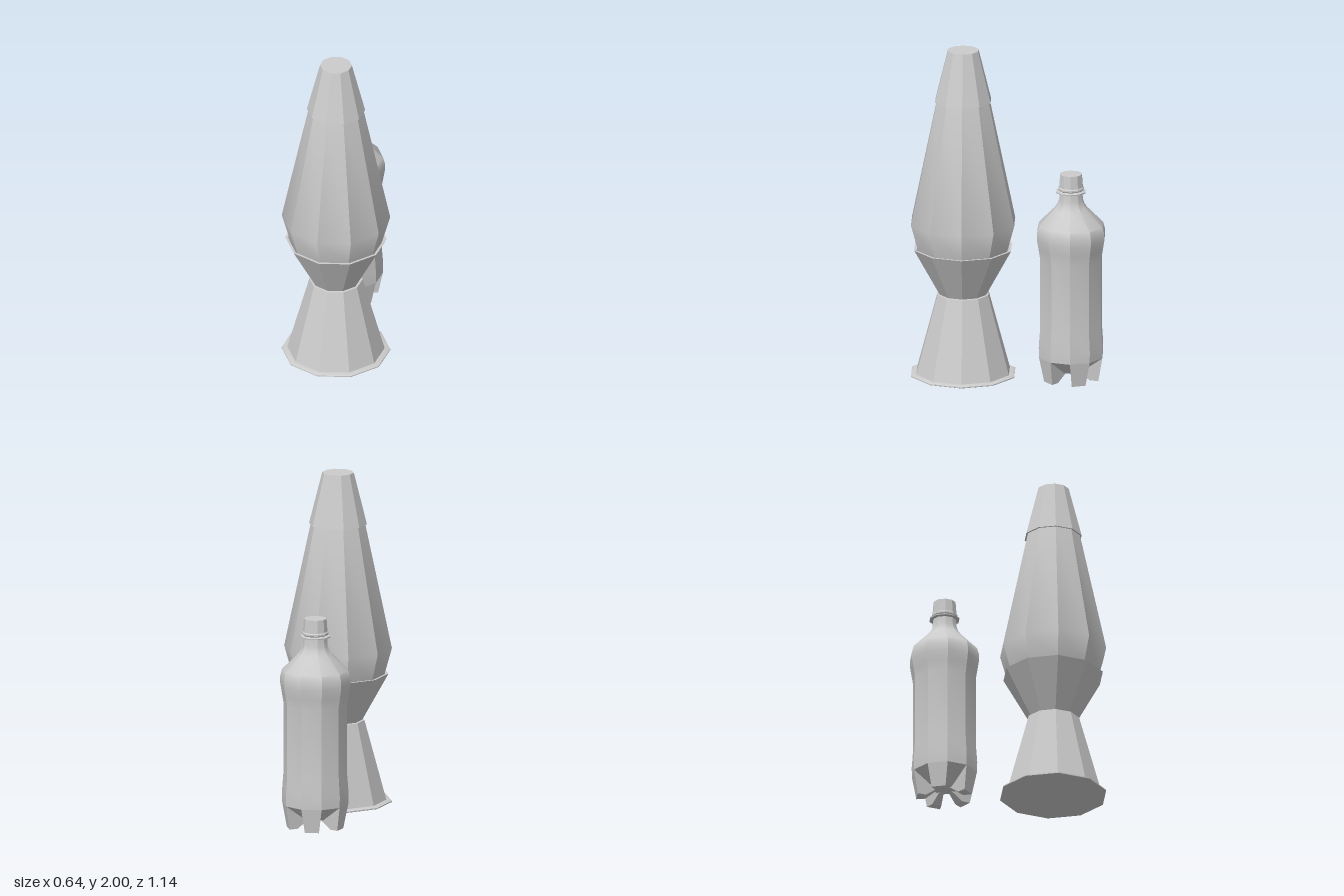
import * as THREE from 'three';
import { toCreasedNormals } from 'three/addons/utils/BufferGeometryUtils.js';
import { ConvexGeometry } from 'three/addons/geometries/ConvexGeometry.js';

const material = new THREE.MeshStandardMaterial({ color: 0xcccccc });
const SIDES = 10;

// Ten-sided turned part from [radius, height] pairs listed bottom to top
function turned(name, profile) {
  const points = profile.map(([r, y]) => new THREE.Vector2(r, y));
  const lathe = new THREE.LatheGeometry(points, SIDES, Math.PI / 2);
  const mesh = new THREE.Mesh(toCreasedNormals(lathe, 0.52), material);
  mesh.name = name;
  return mesh;
}

function createLamp() {
  const lamp = new THREE.Group();
  lamp.name = 'lamp';
  lamp.add(
    turned('lampStand', [
      [0, 0.01], [0.31, 0.01], [0.32, 0.014], [0.32, 0.02], [0.305, 0.027], [0.287, 0.027],
      [0.157, 0.505], [0.135, 0.508], [0, 0.508],
    ]),
    turned('lampCup', [[0, 0.504], [0.142, 0.504], [0.3, 0.79], [0.285, 0.79], [0.265, 0.755]]),
    turned('lampGlass', [[0, 0.74], [0.262, 0.74], [0.277, 0.79], [0.32, 0.945], [0.16, 1.7], [0, 1.7]]),
    turned('lampCap', [[0.15, 1.7], [0.155, 1.69], [0.172, 1.69], [0.094, 2], [0, 2]]),
  );
  return lamp;
}

// One foot filling a single facet of the bottle, tapering towards the ground
function createFoot(index) {
  const start = (index * Math.PI * 2) / 5;
  const facet = (Math.PI * 2) / SIDES;
  // radius, height, angular inset at each corner pair
  const section = [
    [0.196, 0.145, 0], [0.168, 0, 0.06], [0.115, 0, 0.06], [0.045, 0.05, 0], [0.06, 0.14, 0],
  ];
  const corners = [];
  for (const [r, y, inset] of section) {
    for (const a of [start + inset, start + facet - inset]) {
      corners.push(new THREE.Vector3(r * Math.cos(a), y, -r * Math.sin(a)));
    }
  }
  const foot = new THREE.Mesh(new ConvexGeometry(corners), material);
  foot.name = 'bottleFoot';
  return foot;
}

function createBottle() {
  const bottle = new THREE.Group();
  bottle.name = 'bottle';
  bottle.add(
    turned('bottleBody', [
      [0, 0.065], [0.03, 0.05], [0.065, 0.05], [0.196, 0.145], [0.198, 0.21], [0.189, 0.33],
      [0.189, 0.75], [0.199, 0.81], [0.209, 0.87], [0.208, 0.91], [0.198, 0.95],
      [0.1, 1.05], [0.083, 1.075], [0.074, 1.1], [0.07, 1.15],
    ]),
    turned('neckRing', [[0.068, 1.147], [0.09, 1.15], [0.091, 1.157], [0.068, 1.163]]),
    turned('bottleCap', [
      [0.068, 1.16], [0.079, 1.168], [0.079, 1.178], [0.073, 1.184], [0.067, 1.262], [0, 1.262],
    ]),
  );
  for (let i = 0; i < 5; i++) bottle.add(createFoot(i));
  return bottle;
}

export function createModel() {
  const model = new THREE.Group();
  model.name = 'lampAndBottle';
  const lamp = createLamp();
  lamp.position.set(0, 0, 0.265);
  const bottle = createBottle();
  bottle.position.set(0.057, 0, -0.373);
  model.add(lamp, bottle);
  return model;
}
